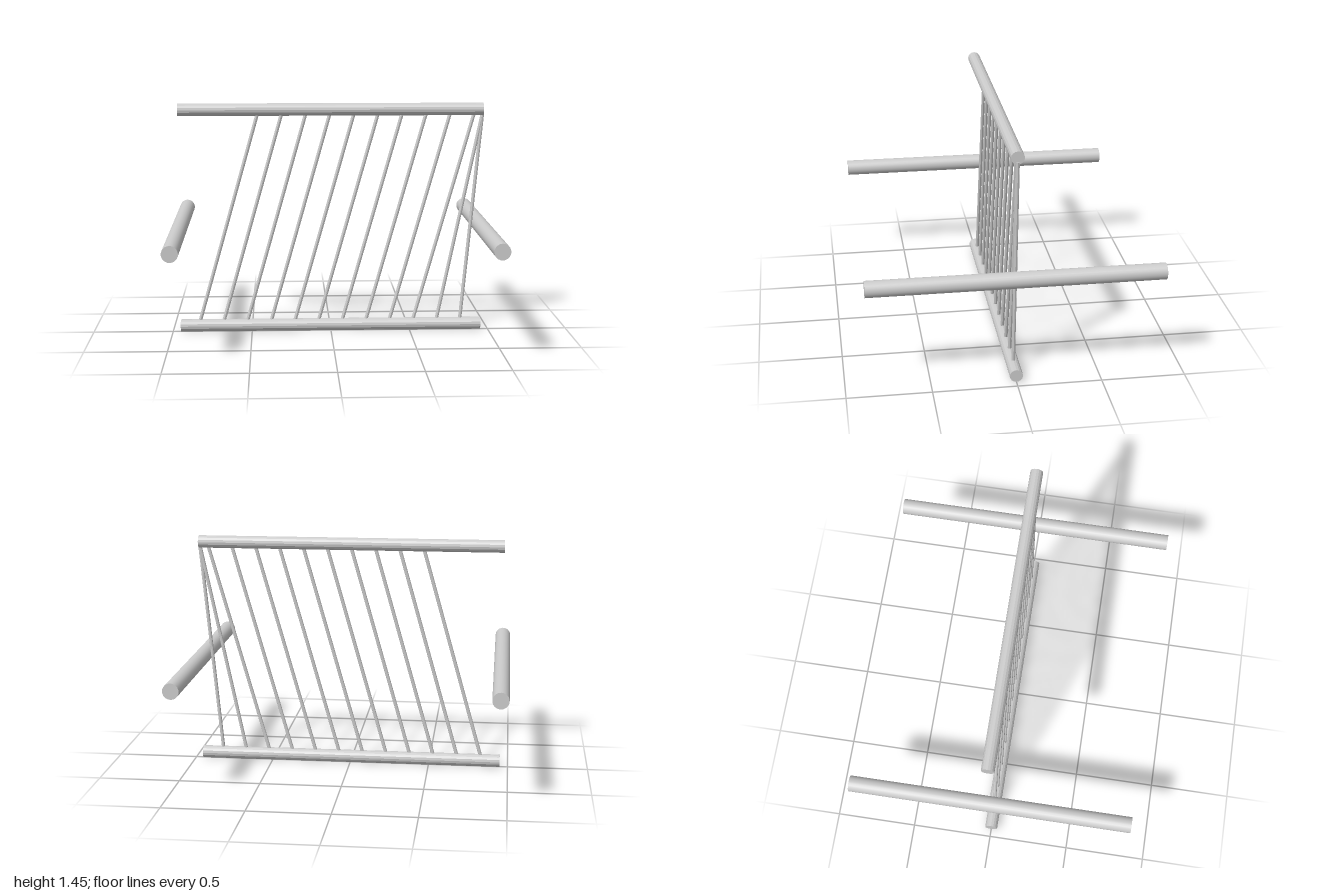
import * as THREE from 'three';

const material = new THREE.MeshStandardMaterial({ color: 0xcccccc });
const facetedMaterial = new THREE.MeshStandardMaterial({ color: 0xcccccc, flatShading: true });

// Round bar running from one point to another
function bar(name, from, to, radius, sides, mat) {
  const axis = to.clone().sub(from);
  const mesh = new THREE.Mesh(new THREE.CylinderGeometry(radius, radius, axis.length(), sides), mat);
  mesh.name = name;
  mesh.position.copy(from).add(to).multiplyScalar(0.5);
  mesh.quaternion.setFromUnitVectors(new THREE.Vector3(0, 1, 0), axis.normalize());
  return mesh;
}

export function createModel() {
  const model = new THREE.Group();
  model.name = 'railFrame';
  const v = (x, y, z = 0) => new THREE.Vector3(x, y, z);
  const halfWidth = 0.95;

  // Lower and upper rails
  model.add(bar('bottomRail', v(-halfWidth, 0.039), v(halfWidth, 0.039), 0.039, 16, facetedMaterial));
  model.add(bar('topRail', v(-halfWidth, 1.406), v(halfWidth, 1.406), 0.039, 16, facetedMaterial));

  // Cross bars running front to back at each side
  for (const [name, x] of [['leftCrossBar', halfWidth], ['rightCrossBar', -halfWidth]]) {
    model.add(bar(name, v(x, 0.663, -0.87), v(x, 0.663, 0.87), 0.049, 24, material));
  }

  // Slanted rods, with their tops held within the end of the upper rail
  const rods = new THREE.Group();
  rods.name = 'slantedRods';
  for (let i = 0; i < 12; i++) {
    const x = -0.829 + i * 0.15;
    rods.add(bar('rod', v(x, 0.065), v(Math.min(x + 0.372, 0.945), 1.38), 0.011, 8, facetedMaterial));
  }
  model.add(rods);
  return model;
}
